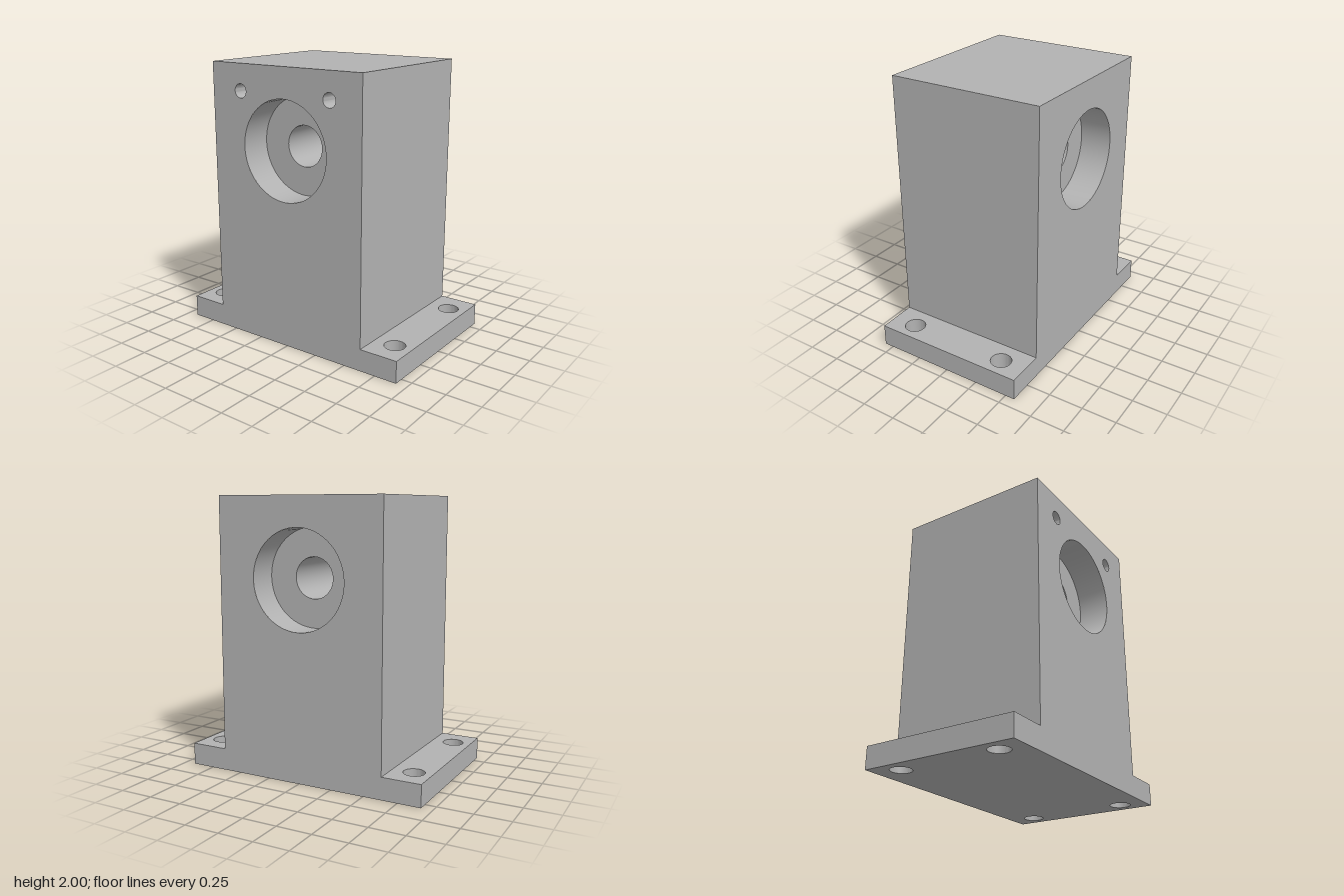
import * as THREE from 'three';
import { toCreasedNormals } from 'three/addons/utils/BufferGeometryUtils.js';

const W = 0.635, FOOT = 0.92, H = 2, T = 0.16, D = 0.57; // half widths, heights, half depth
const BORE_Y = 1.43, BORE_R = 0.355, SHAFT_R = 0.148, BORE_DEPTH = 0.23;
const PIN = { x: 0.38, y: 1.81, r: 0.05, depth: 0.25 };
const BOLT = { x: 0.79, z: 0.38, r: 0.075 };
const SEG = 64;

export function createModel() {
  const group = new THREE.Group();
  const metal = new THREE.MeshStandardMaterial({ color: 0xb2b2b2 });
  metal.name = 'grey metal';

  const add = (name, geometry, x = 0, y = 0, z = 0) => {
    const mesh = new THREE.Mesh(geometry, metal);
    mesh.name = name;
    mesh.position.set(x, y, z);
    group.add(mesh);
    return mesh;
  };

  // Flat face with round holes given as [x, y, radius]
  const face = (points, holes) => {
    const shape = new THREE.Shape(points.map(([x, y]) => new THREE.Vector2(x, y)));
    for (const [x, y, r] of holes) {
      shape.holes.push(new THREE.Path().absarc(x, y, r, 0, Math.PI * 2, true));
    }
    return new THREE.ShapeGeometry(shape, SEG);
  };
  const rect = (x0, x1) => [[x0, -D], [x1, -D], [x1, D], [x0, D]];

  // Hole wall: the profile runs downward so its faces look inward
  const hole = (profile) => toCreasedNormals(
    new THREE.LatheGeometry(profile.map(([r, y]) => new THREE.Vector2(r, y)), SEG), 0.6);

  // Front and back faces, shaped like an upturned T
  const outline = [[-FOOT, 0], [FOOT, 0], [FOOT, T], [W, T], [W, H], [-W, H], [-W, T], [-FOOT, T]];
  const bore = [0, BORE_Y, BORE_R];
  const pins = [-1, 1].map((s) => [s * PIN.x, PIN.y, PIN.r]);
  add('frontFace', face(outline, [bore, ...pins]), 0, 0, D);
  add('backFace', face(outline, [bore]).rotateY(Math.PI), 0, 0, -D);

  // Top of the block and underside of the base
  add('topFace', new THREE.PlaneGeometry(2 * W, 2 * D).rotateX(-Math.PI / 2), 0, H, 0);
  const bolts = [];
  for (const sx of [-1, 1]) for (const sz of [-1, 1]) bolts.push([sx * BOLT.x, sz * BOLT.z, BOLT.r]);
  add('baseUnderside', face(rect(-FOOT, FOOT), bolts).rotateX(Math.PI / 2));

  // Sides and mounting flanges
  for (const s of [-1, 1]) {
    const side = s > 0 ? 'left' : 'right';
    const wall = (h) => new THREE.PlaneGeometry(2 * D, h).rotateY(s * Math.PI / 2);
    add(side + 'BlockSide', wall(H - T), s * W, (H + T) / 2, 0);
    add(side + 'FlangeEnd', wall(T), s * FOOT, T / 2, 0);
    const strip = s > 0 ? rect(W, FOOT) : rect(-FOOT, -W);
    const own = bolts.filter(([x]) => x * s > 0);
    add(side + 'FlangeTop', face(strip, own).rotateX(-Math.PI / 2), 0, T, 0);
  }

  // Bolt holes through the flanges
  for (const [x, z, r] of bolts) add('boltHole', hole([[r, T], [r, 0]]), x, 0, z);

  // Shaft bore, counterbored from both ends
  const floor = D - BORE_DEPTH;
  add('shaftBore', hole([
    [BORE_R, D], [BORE_R, floor], [SHAFT_R, floor],
    [SHAFT_R, -floor], [BORE_R, -floor], [BORE_R, -D],
  ]).rotateX(Math.PI / 2), 0, BORE_Y, 0);

  // Blind pin holes in the front
  for (const [x, y, r] of pins) {
    add('pinHole', hole([[r, 0], [r, -PIN.depth], [0, -PIN.depth]]).rotateX(Math.PI / 2), x, y, D);
  }

  return group;
}
